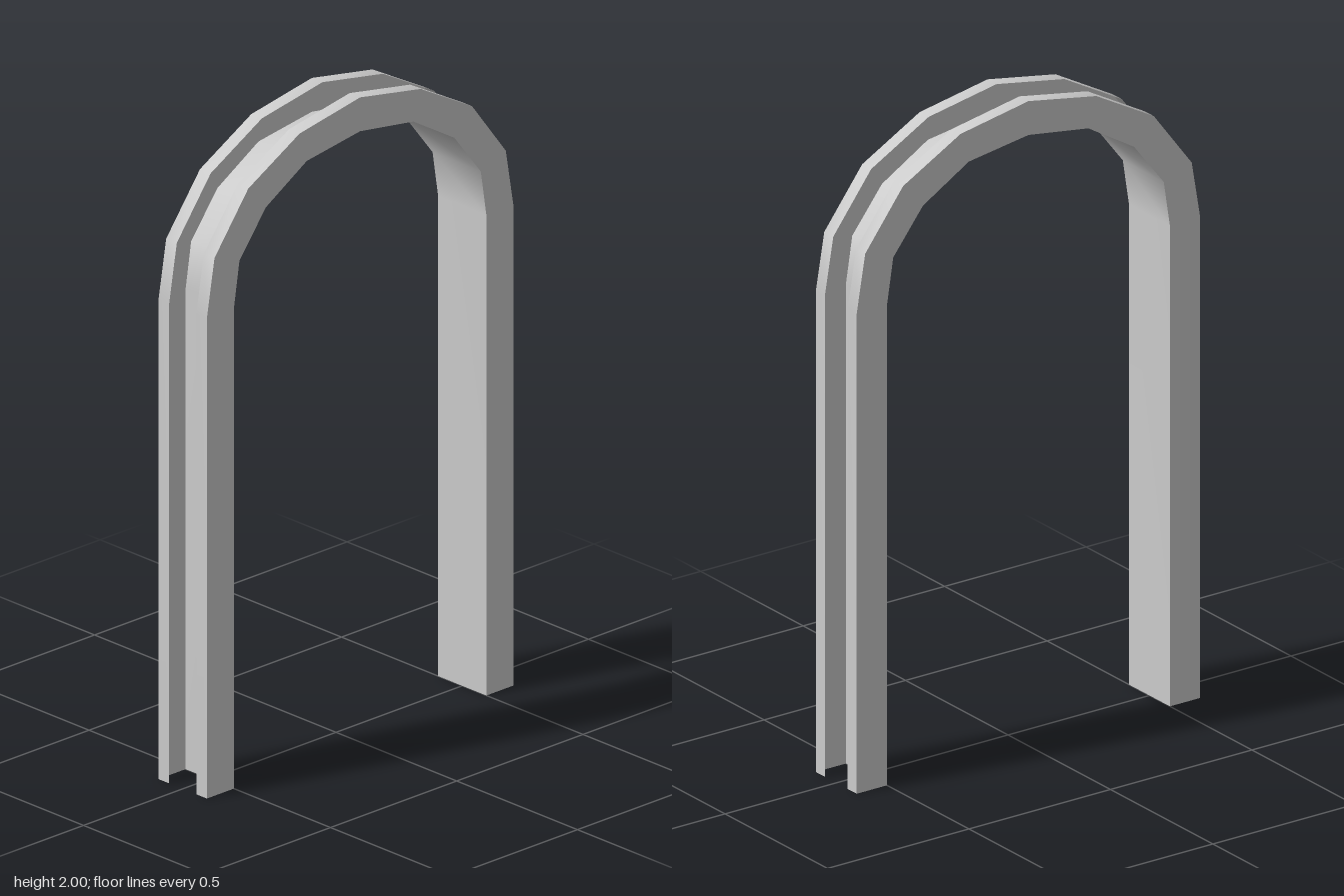
import * as THREE from 'three';

// Half paths (x, y) from the foot of one leg up to the crown
const outerHalf = [[0.607, 0], [0.607, 1.49], [0.577, 1.668], [0.443, 1.845], [0.24, 1.957], [0, 2]];
const innerHalf = [[0.5, 0], [0.5, 1.49], [0.478, 1.632], [0.373, 1.767], [0.211, 1.864], [0, 1.895]];

// Complete a half path with its mirror image down the other leg
const mirrored = (half) => [...half, ...half.slice(0, -1).reverse().map(([x, y]) => [-x, y])];

// Sheet swept along the arch between two edges, each a path at a fixed z
function strip([pathA, zA], [pathB, zB]) {
  const positions = [], index = [];
  pathA.forEach(([x, y], i) => {
    positions.push(x, y, zA, pathB[i][0], pathB[i][1], zB);
    if (i === 0) return;
    const a = 2 * i - 2;
    index.push(a, a + 2, a + 3, a, a + 3, a + 1);
  });
  const geometry = new THREE.BufferGeometry();
  geometry.setAttribute('position', new THREE.Float32BufferAttribute(positions, 3));
  geometry.setIndex(index);
  geometry.computeVertexNormals();
  return geometry;
}

export function createModel() {
  const group = new THREE.Group();
  group.name = 'archedChannel';
  const material = new THREE.MeshStandardMaterial({ color: 0xcccccc, side: THREE.DoubleSide });

  const outer = mirrored(outerHalf), inner = mirrored(innerHalf);
  const side = 0.1, lip = 0.056;

  // Open C-shaped cross-section: lip, side, web, side, lip
  const section = [[outer, lip], [outer, side], [inner, side], [inner, -side], [outer, -side], [outer, -lip]];
  const names = ['frontLip', 'frontSide', 'innerWeb', 'backSide', 'backLip'];
  names.forEach((name, i) => {
    const mesh = new THREE.Mesh(strip(section[i], section[i + 1]), material);
    mesh.name = name;
    group.add(mesh);
  });
  return group;
}
